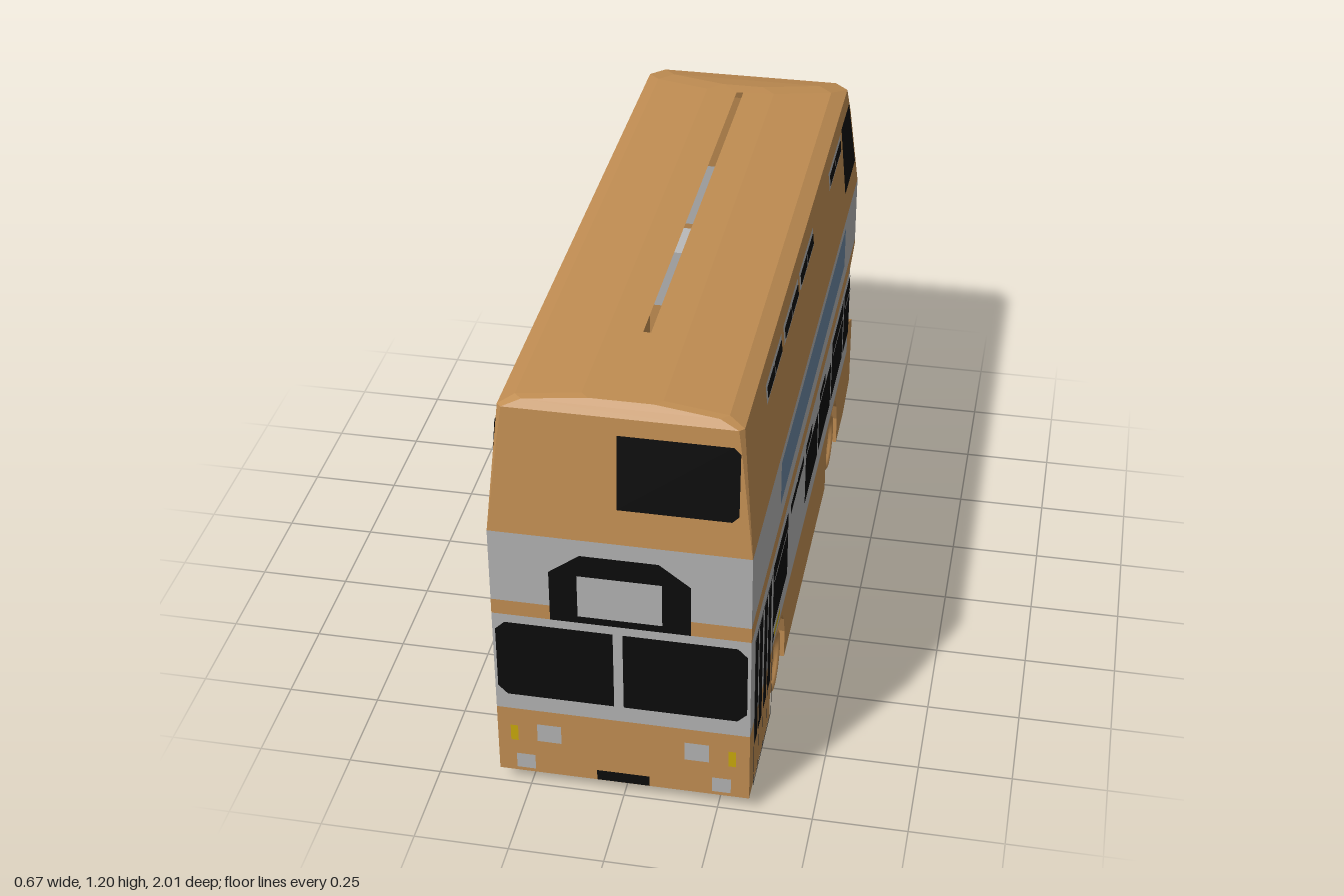
import * as THREE from 'three';

const mat = (name, color) => new THREE.MeshStandardMaterial({ name, color, side: THREE.DoubleSide });
const HW = 0.333; // half width of the body

export function createModel() {
  const bus = new THREE.Group();
  bus.name = 'doubleDeckerBus';
  const orange = mat('orangePaint', 0xc08d52), grey = mat('lightGreyPaint', 0xb2b2b2);
  const black = mat('darkGlass', 0x0c0c0c), yellow = mat('yellowLamp', 0xc8a80c);
  const blue = mat('bluePanel', 0x6a859f), rubber = mat('tyreRubber', 0x404040);

  const add = (name, geo, material) => {
    const m = new THREE.Mesh(geo, material);
    m.name = name;
    bus.add(m);
    return m;
  };
  // flat polygon in (u, v), placed by a mapping rule
  const plate = (name, pts, material, map) => {
    const geo = new THREE.ShapeGeometry(new THREE.Shape(pts.map(p => new THREE.Vector2(p[0], p[1])))).toNonIndexed();
    const pos = geo.attributes.position;
    for (let i = 0; i < pos.count; i++) pos.setXYZ(i, ...map(pos.getX(i), pos.getY(i)));
    geo.computeVertexNormals();
    return add(name, geo, material);
  };
  // quads from rows of points, flat shaded
  const loft = (name, rows, material, closed) => {
    const v = [];
    for (let r = 0; r + 1 < rows.length; r++) {
      const a = rows[r], b = rows[r + 1], n = a.length;
      for (let i = 0; i < (closed ? n : n - 1); i++) {
        const j = (i + 1) % n;
        v.push(...a[i], ...b[i], ...b[j], ...a[i], ...b[j], ...a[j]);
      }
    }
    const geo = new THREE.BufferGeometry();
    geo.setAttribute('position', new THREE.Float32BufferAttribute(v, 3));
    geo.computeVertexNormals();
    return add(name, geo, material);
  };
  // sheet spanning the full width along a (z, y) path
  const across = (name, path, material) =>
    loft(name, [HW, -HW].map(x => path.map(([z, y]) => [x, y, z])), material);
  // matching panels on both sides
  const flanks = (name, pts, material) => {
    for (const s of [1, -1]) plate(name, pts, material, (z, y) => [s * HW, y, z]);
  };

  // lower body with wheel arches, hollow beneath
  const axles = [0.533, -0.555];
  const arch = c => [[0.13, 0.04], [0.13, 0.13], [0.108, 0.19], [0.07, 0.235], [0, 0.25],
    [-0.07, 0.235], [-0.108, 0.19], [-0.13, 0.13], [-0.13, 0.04]].map(([z, y]) => [c + z, y]);
  const tail = [[-0.85, 0.04], [-1, 0.08], [-1, 0.31], [-0.89, 0.36]];
  flanks('lowerSide', [[1, 0.045], ...arch(axles[0]), ...arch(axles[1]), ...tail, [-0.89, 0.255], [1, 0.255]], orange);
  axles.forEach(c => across('wheelTunnel', arch(c), orange));
  across('rearHood', tail, orange);
  across('floor', [[1, 0.253], [-0.89, 0.253]], orange);
  across('frontApron', [[1, 0.045], [1, 0.255]], orange);

  // paint bands up to the upper deck
  flanks('lowerDeckSide', [[1, 0.255], [1, 0.56], [-0.89, 0.56], [-0.89, 0.255]], grey);
  across('lowerDeckFront', [[1, 0.255], [1, 0.563]], grey);
  across('rearRecess', [[-0.89, 0.36], [-0.89, 0.56], [-1, 0.59]], grey);
  flanks('waistStripe', [[1, 0.56], [1, 0.607], [-1, 0.607], [-1, 0.59], [-0.89, 0.56]], orange);
  across('waistStripeFront', [[1, 0.563], [1, 0.607]], orange);
  across('waistStripeRear', [[-1, 0.59], [-1, 0.607]], orange);
  flanks('middleBandSide', [[1, 0.607], [1, 0.82], [-1, 0.82], [-1, 0.607]], grey);
  for (const z of [1, -1]) across('middleBandEnd', [[z, 0.607], [z, 0.82]], grey);

  // upper deck and crowned roof: y, half width, front z, back z, front chamfer, back chamfer
  const ring = ([y, w, f, b, cf, cb]) => [[w, f - cf], [w - cf, f], [cf - w, f], [-w, f - cf],
    [-w, b + cb], [cb - w, b], [w - cb, b], [w, b + cb]].map(([x, z]) => [x, y, z]);
  const levels = [[0.82, HW, 1, -1, 0.001, 0.001], [1.08, 0.31, 0.976, -0.97, 0.008, 0.03],
    [1.17, 0.302, 0.968, -0.94, 0.012, 0.04], [1.19, 0.262, 0.955, -0.87, 0.02, 0.04],
    [1.205, 0.1, 0.945, -0.8, 0.02, 0.04], [1.206, 0.01, 0.8, -0.75, 0.001, 0.001]];
  loft('upperDeckAndRoof', levels.map(ring), orange, true);

  // plates that follow the hull
  const lean = (y, a, k) => a - Math.max(0, y - 0.82) * k;
  const rect = (u0, u1, v0, v1, c = 0) => c
    ? [[u0 + c, v0], [u1 - c, v0], [u1, v0 + c], [u1, v1 - c], [u1 - c, v1], [u0 + c, v1], [u0, v1 - c], [u0, v0 + c]]
    : [[u0, v0], [u1, v0], [u1, v1], [u0, v1]];
  const onSide = (s, name, pts, m, off = 0.003) =>
    plate(name, pts, m, (z, y) => [s * (lean(y, HW, 0.0886) + off), y, z]);
  const onFront = (name, pts, m, off = 0.003) =>
    plate(name, pts, m, (x, y) => [x, y, lean(y, 1, 0.0914) + off]);
  const onBack = (name, pts, m, off = 0.003, z = 1) =>
    plate(name, pts, m, (x, y) => [x, y, -lean(y, z, 0.125) - off]);

  const slit = (s, z0, z1) => {
    const mid = (z0 + z1) / 2;
    onSide(s, 'ventWindowFrame', rect(z0, z1, 1.068, 1.122), grey);
    onSide(s, 'ventWindow', rect(z0 + 0.01, mid - 0.003, 1.078, 1.112), black, 0.005);
    onSide(s, 'ventWindow', rect(mid + 0.003, z1 - 0.01, 1.078, 1.112), black, 0.005);
  };
  const window = (s, z0, z1, y0, y1, bar) => {
    onSide(s, 'sideWindow', rect(z0, z1, y0, y1), black);
    if (bar) onSide(s, 'windowBar', rect(z0, z1, bar - 0.004, bar + 0.004), grey, 0.005);
  };
  const quarter = [[-0.725, 1.125], [-0.9, 1.125], [-0.95, 0.91], [-0.725, 0.91]];

  // right-hand side in front view: door side
  [[0.44, 0.69], [0.155, 0.405], [-0.125, 0.13], [-0.695, -0.445]].forEach(([a, b]) => slit(1, a, b));
  onSide(1, 'rearQuarterWindow', quarter, black);
  onSide(1, 'sidePanel', rect(-0.705, 0.56, 0.675, 0.805), blue);
  [[0.405, 0.66, 0.335, 0.543, 0.497], [0.243, 0.36, 0.5, 0.532], [0.12, 0.237, 0.5, 0.532],
    [-0.045, 0.075, 0.5, 0.532], [-0.32, -0.205, 0.5, 0.532], [-0.175, 0.075, 0.335, 0.49],
    [-0.45, -0.195, 0.335, 0.49], [-0.725, -0.47, 0.335, 0.543, 0.495],
    [-0.88, -0.745, 0.335, 0.543, 0.495]].forEach(w => window(1, ...w));
  onSide(1, 'sideIndicator', rect(0.53, 0.63, 0.29, 0.31), yellow);
  onSide(1, 'sideMarker', rect(0.635, 0.655, 0.287, 0.312), black);

  // folding door
  [[0.9, 0.95], [0.83, 0.885], [0.755, 0.805], [0.69, 0.74]].forEach(([a, b]) =>
    onSide(1, 'doorGlass', rect(a, b, 0.185, 0.525), black));
  [[0.96, 0.968, 0.065, 0.543], [0.668, 0.676, 0.065, 0.543], [0.668, 0.968, 0.062, 0.07],
    [0.668, 0.968, 0.537, 0.545], [0.89, 0.894, 0.07, 0.54], [0.816, 0.82, 0.07, 0.54],
    [0.746, 0.75, 0.07, 0.54]].forEach(r => onSide(1, 'doorFrame', rect(...r), rubber, 0.005));

  // opposite side
  [[-0.69, -0.445], [-0.11, 0.145], [0.455, 0.705]].forEach(([a, b]) => slit(-1, a, b));
  onSide(-1, 'rearQuarterWindow', quarter, black);
  [[-0.4, -0.14], [0.17, 0.43], [0.73, 0.96]].forEach(([a, b]) => window(-1, a, b, 0.88, 1.125));
  onSide(-1, 'sidePanel', rect(-0.53, 0.73, 0.675, 0.805), blue);
  [[-0.88, -0.745, 0.335, 0.543], [-0.725, -0.47, 0.335, 0.543], [-0.44, -0.2, 0.5, 0.532],
    [-0.175, 0.08, 0.335, 0.543], [0.1, 0.36, 0.335, 0.543], [0.71, 0.855, 0.31, 0.543],
    [0.87, 0.99, 0.31, 0.543]].forEach(w => window(-1, ...w));
  onSide(-1, 'sideIndicator', rect(0.67, 0.69, 0.255, 0.295), yellow);

  // front face
  onFront('windscreen', [[-0.3, 0.305], [-0.02, 0.305], [-0.02, 0.54], [-0.3, 0.54], [-0.325, 0.515], [-0.325, 0.33]], black);
  onFront('windscreen', [[0.005, 0.305], [0.3, 0.305], [0.325, 0.33], [0.325, 0.515], [0.3, 0.54], [0.005, 0.54]], black);
  onFront('upperWindscreen', [[-0.005, 0.92], [0.28, 0.92], [0.297, 0.937], [0.297, 1.108], [0.28, 1.125], [-0.005, 1.125]], black);
  onFront('destinationSurround', [[-0.18, 0.565], [0.18, 0.565], [0.18, 0.715], [0.1, 0.775], [-0.1, 0.775], [-0.18, 0.715]], black);
  onFront('destinationBlind', rect(-0.108, 0.108, 0.587, 0.713), grey, 0.005);
  for (const s of [1, -1]) {
    onFront('headlamp', rect(s * 0.195 - 0.032, s * 0.195 + 0.032, 0.155, 0.212), grey);
    onFront('fogLamp', rect(s * 0.26 - 0.025, s * 0.26 + 0.025, 0.058, 0.105), grey);
    onFront('frontIndicator', rect(s * 0.288 - 0.01, s * 0.288 + 0.01, 0.15, 0.2), yellow);
  }
  onFront('frontPlate', rect(-0.07, 0.07, 0.048, 0.08), black);

  // rear face
  onBack('upperRearWindow', rect(-0.22, 0.22, 0.91, 1.09, 0.02), black, 0.006);
  onBack('lowerRearWindow', rect(-0.17, 0.17, 0.405, 0.525, 0.018), black, 0.003, 0.89);
  onBack('rearVent', rect(-0.105, 0.105, 0.592, 0.622), black);
  for (const x of [-0.045, 0.045]) onBack('ventLamp', rect(x - 0.025, x + 0.025, 0.603, 0.612), grey, 0.005);
  for (const s of [1, -1]) {
    onBack('rearIndicator', rect(s * 0.275 - 0.038, s * 0.275 + 0.038, 0.175, 0.205), yellow);
    onBack('rearLamp', rect(s * 0.275 - 0.038, s * 0.275 + 0.038, 0.145, 0.175), grey);
  }
  onBack('rearPlate', rect(-0.07, 0.07, 0.115, 0.145), black);

  // wheels: dished hubs on both sides, tyres on the far side only
  const hub = new THREE.LatheGeometry([[0.085, 0], [0.09, 0.06], [0.082, 0.066], [0.072, 0.06], [0.065, 0.045],
    [0.04, 0.038], [0.035, 0.055], [0.018, 0.058], [0.015, 0.05], [0, 0.05]].map(p => new THREE.Vector2(...p)), 28);
  const tyre = new THREE.LatheGeometry([[0.06, 0], [0.115, 0], [0.126, 0.01], [0.126, 0.06], [0.115, 0.068],
    [0.088, 0.066], [0.08, 0.03]].map(p => new THREE.Vector2(...p)), 28);
  for (const z of axles) {
    for (const s of [1, -1]) {
      const parts = [add('wheelHub', hub, orange)];
      if (s < 0) parts.push(add('tyre', tyre, rubber));
      for (const p of parts) {
        p.rotation.z = -s * Math.PI / 2;
        p.position.set(s * 0.262, 0.127, z);
      }
    }
  }
  return bus;
}
